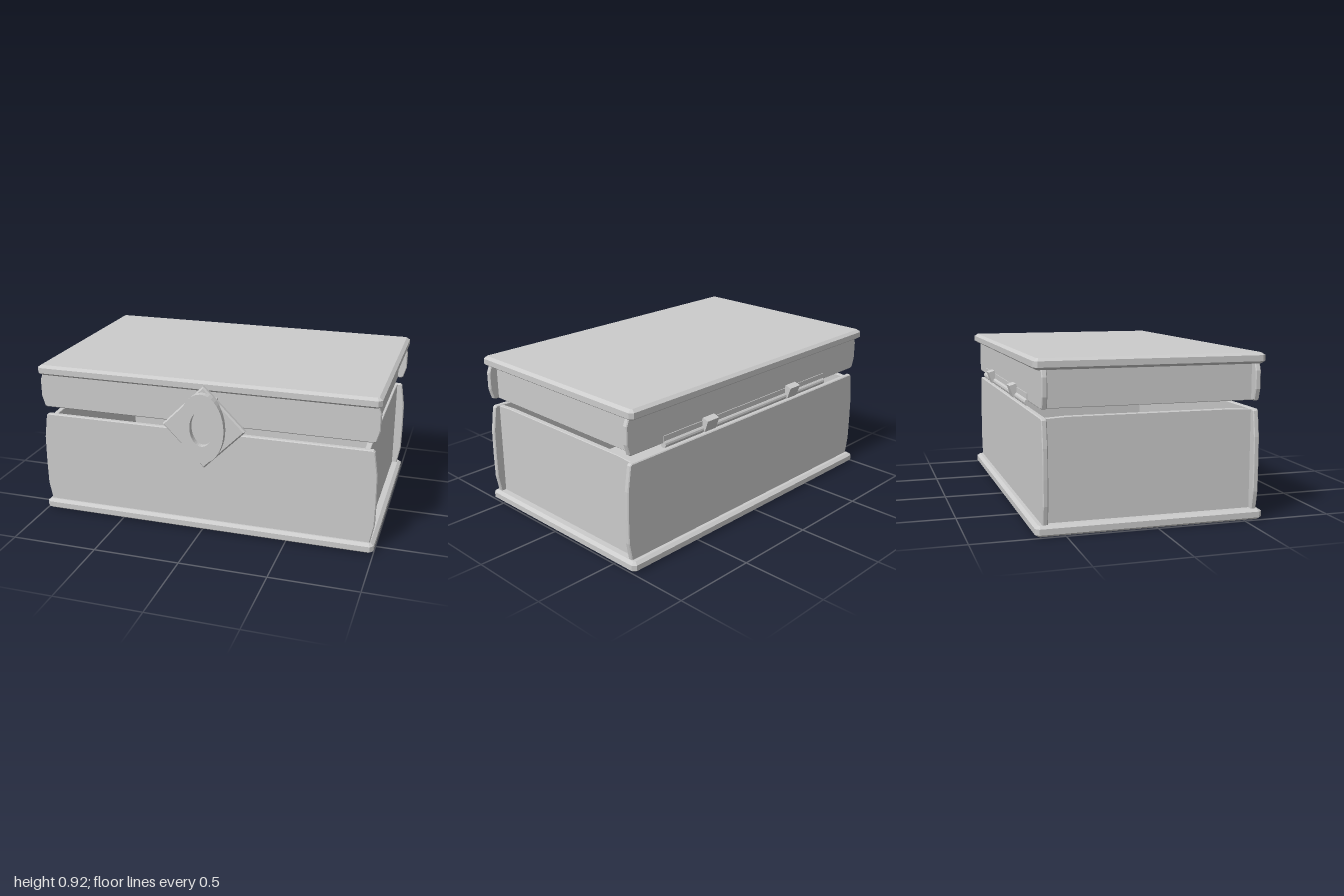
import * as THREE from 'three';

const material = new THREE.MeshStandardMaterial({ color: 0xcccccc, flatShading: true });

function add(parent, name, geometry, x = 0, y = 0, z = 0) {
  const mesh = new THREE.Mesh(geometry, material);
  mesh.name = name;
  mesh.position.set(x, y, z);
  parent.add(mesh);
  return mesh;
}

const polygon = (points) => new THREE.Shape(points.map(([x, y]) => new THREE.Vector2(x, y)));

// Extrusion centred on z = 0 with one chamfer that keeps the outline's size
function slab(shape, depth, bevel, bevelZ = bevel) {
  const geometry = new THREE.ExtrudeGeometry(shape, {
    depth: depth - 2 * bevelZ, bevelEnabled: true, bevelSegments: 1,
    bevelSize: bevel, bevelOffset: -bevel, bevelThickness: bevelZ, curveSegments: 20,
  });
  return geometry.translate(0, 0, -(depth / 2 - bevelZ));
}

// Chamfered board lying flat, shared by the lid top and the base
function board() {
  const w = 1, d = 0.6325, c = 0.02;
  const shape = polygon([[-w + c, -d], [w - c, -d], [w, -d + c], [w, d - c],
    [w - c, d], [-w + c, d], [-w, d - c], [-w, -d + c]]);
  return slab(shape, 0.06, 0.02, 0.014).rotateX(-Math.PI / 2);
}

// Upright panel whose ends bow outwards; right-hand outline is mirrored
function bowedPanel(right) {
  const left = right.map(([x, y]) => [-x, y]).reverse();
  return slab(polygon([...right, ...left]), 0.03, 0.005);
}

const ellipse = (rx, ry) => new THREE.Shape().absellipse(0, 0, rx, ry, 0, Math.PI * 2);

// Front, back and side walls of one half of the chest
function walls(group, prefix, outline, sideOutline) {
  for (const [side, z] of [['Front', 0.56], ['Back', -0.605]]) {
    add(group, prefix + side + 'Panel', bowedPanel(outline), 0, 0, z);
  }
  for (const [side, x] of [['Left', 0.93], ['Right', -0.93]]) {
    const geometry = slab(polygon(sideOutline), 0.03, 0.003).rotateY(-Math.PI / 2);
    add(group, prefix + side + 'Wall', geometry, x);
  }
}

export function createModel() {
  const model = new THREE.Group();
  model.name = 'chest';

  // Lower box
  const base = new THREE.Group();
  base.name = 'base';
  add(base, 'baseBoard', board(), 0, 0.03, -0.0275);
  walls(base, 'base',
    [[0.975, 0.055], [0.995, 0.16], [0.997, 0.3], [0.995, 0.46], [0.975, 0.6], [0.965, 0.61]],
    [[-0.6, 0.05], [0.55, 0.05], [0.55, 0.605], [0.44, 0.612], [-0.48, 0.612], [-0.6, 0.605]]);
  model.add(base);

  // Lid
  const lid = new THREE.Group();
  lid.name = 'lid';
  add(lid, 'lidBoard', board(), 0, 0.885, -0.0275);
  walls(lid, 'lid',
    [[0.965, 0.655], [0.978, 0.66], [0.996, 0.72], [0.996, 0.82], [0.98, 0.862]],
    [[-0.6, 0.655], [0.55, 0.655], [0.55, 0.865], [-0.6, 0.865]]);
  model.add(lid);

  // Hinge rod, its strip and two tilted brackets
  const hinge = new THREE.Group();
  hinge.name = 'hinge';
  hinge.position.set(0.045, 0.66, -0.615);
  const rod = new THREE.CylinderGeometry(0.02, 0.02, 1.39, 12).rotateZ(Math.PI / 2);
  add(hinge, 'hingeRod', rod, 0, -0.012, -0.002);
  add(hinge, 'hingeStrip', new THREE.BoxGeometry(1.39, 0.03, 0.02), 0, 0.022, 0);
  for (const x of [-0.36, 0.36]) {
    const bracket = add(hinge, 'hingeBracket', new THREE.BoxGeometry(0.09, 0.07, 0.04), x, 0.017, -0.02);
    bracket.rotation.x = -0.32;
  }
  model.add(hinge);

  // Clasp: diamond plate with an oval ring, held on a small mount
  const clasp = new THREE.Group();
  clasp.name = 'clasp';
  clasp.position.set(0.025, 0.652, 0);
  const r = 0.243;
  add(clasp, 'claspPlate', slab(polygon([[0, -r], [r, 0], [0, r], [-r, 0]]), 0.038, 0.008, 0.01), 0, 0, 0.611);
  const ring = ellipse(0.13, 0.203);
  ring.holes.push(ellipse(0.068, 0.103));
  const ringGeometry = new THREE.ExtrudeGeometry(ring, { depth: 0.045, bevelEnabled: false, curveSegments: 20 });
  add(clasp, 'claspRing', ringGeometry, 0, 0.006, 0.62);
  add(clasp, 'claspMount', new THREE.BoxGeometry(0.14, 0.13, 0.03), 0, 0.103, 0.583);
  model.add(clasp);

  return model;
}
